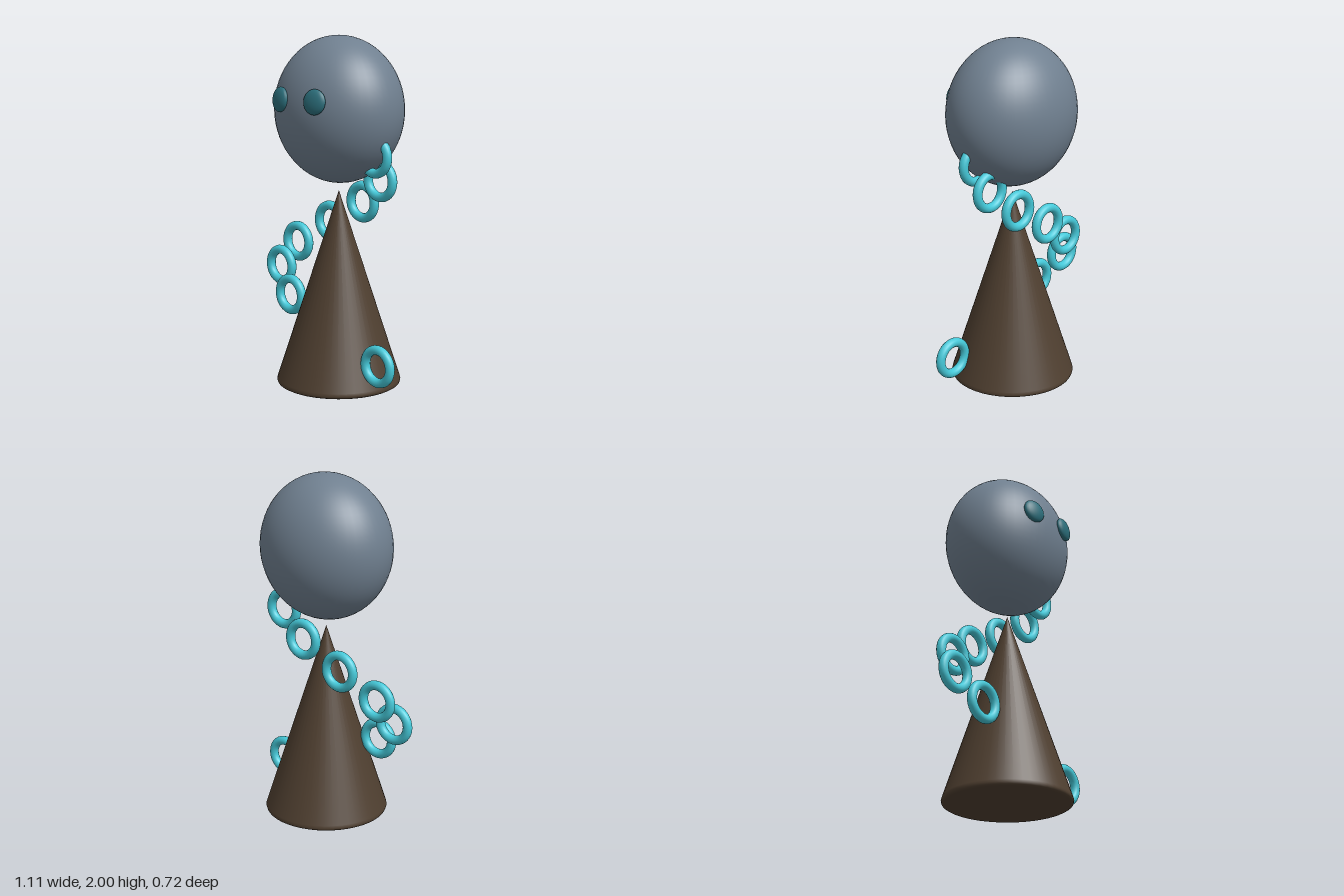
import * as THREE from 'three';

const CX = 0.03; // common axis of head and body

export function createModel() {
  const model = new THREE.Group();
  const paint = (color) => new THREE.MeshStandardMaterial({ color });
  const slate = paint(0x708090), teal = paint(0x2c6f7c), cyan = paint(0x45c8d8), brown = paint(0x4f3f30);

  const add = (name, geometry, material, x, y, z) => {
    const mesh = new THREE.Mesh(geometry, material);
    mesh.name = name;
    mesh.position.set(x, y, z);
    model.add(mesh);
    return mesh;
  };

  // Conical body with a softly rounded bottom rim and closed base
  const profile = [[0, 0], [0.345, 0], [0.356, 0.006], [0.36, 0.018], [0.356, 0.032], [0, 1.125]]
    .map(([r, y]) => new THREE.Vector2(r, y));
  add('body', new THREE.LatheGeometry(profile, 48), brown, CX, 0, 0);

  // Ellipsoidal head
  add('head', new THREE.SphereGeometry(1, 48, 32), slate, CX, 1.585, 0).scale.set(0.4, 0.415, 0.335);

  // Flattened eyes, turned to follow the curve of the head
  for (const side of [-1, 1]) {
    const eye = add(side < 0 ? 'rightEye' : 'leftEye', new THREE.SphereGeometry(1, 24, 16), teal,
      CX + side * 0.138, 1.65, 0.318);
    eye.scale.set(0.07, 0.07, 0.028);
    eye.rotation.set(-0.1, side * 0.2, 0);
  }

  // Upright rings spiralling up around the body: [x, z] at even height steps
  const ringGeometry = new THREE.TorusGeometry(0.094, 0.027, 14, 36);
  const ringCentres = [
    [0.43, 0.09], [0.1, 0.12], [-0.28, 0.095], [-0.435, 0.03], [-0.372, -0.05],
    [-0.152, -0.107], [0.105, -0.117], [0.283, -0.075], [0.313, 0],
  ];
  ringCentres.forEach(([x, z], i) => add(`ring${i + 1}`, ringGeometry, cyan, x, 0.19 + i * 0.144, z));

  return model;
}
